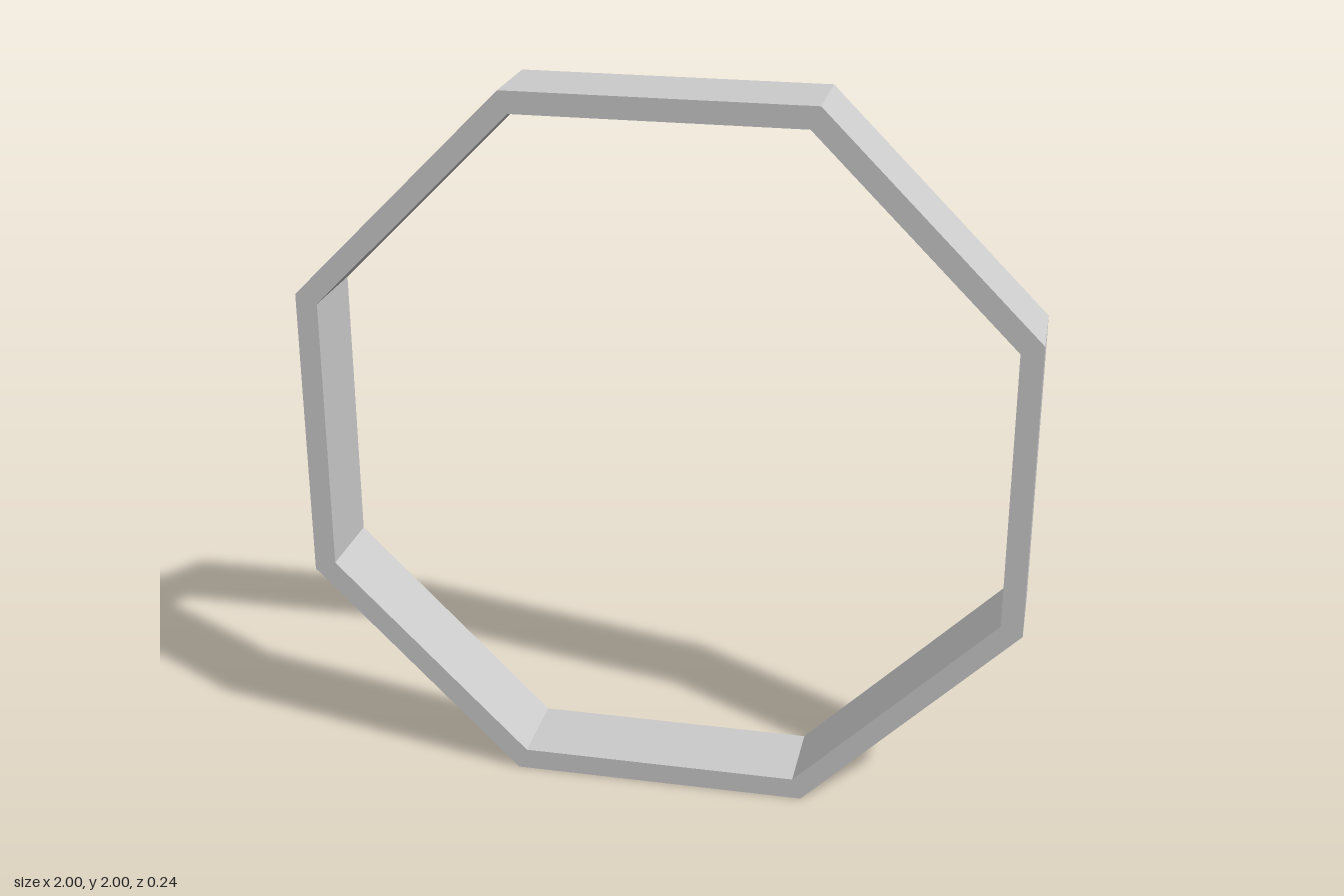
import * as THREE from 'three';

const SIDES = 8;
const DEPTH = 0.24;

// Corners of a regular octagon with flat sides at the given distance from the centre
function octagon(apothem) {
  const radius = apothem / Math.cos(Math.PI / SIDES);
  return Array.from({ length: SIDES }, (_, i) => {
    const a = ((i + 0.5) / SIDES) * Math.PI * 2;
    return new THREE.Vector2(Math.cos(a) * radius, Math.sin(a) * radius);
  });
}

export function createModel() {
  const group = new THREE.Group();
  group.name = 'octagonalFrame';

  // Thin octagonal ring: outer outline with a matching hole
  const shape = new THREE.Shape(octagon(1));
  shape.holes.push(new THREE.Path(octagon(0.94)));
  const geometry = new THREE.ExtrudeGeometry(shape, { depth: DEPTH, bevelEnabled: false });
  geometry.translate(0, 1, -DEPTH / 2);

  const material = new THREE.MeshStandardMaterial({ color: 0xcccccc, flatShading: true });
  const ring = new THREE.Mesh(geometry, material);
  ring.name = 'ring';
  group.add(ring);
  return group;
}
